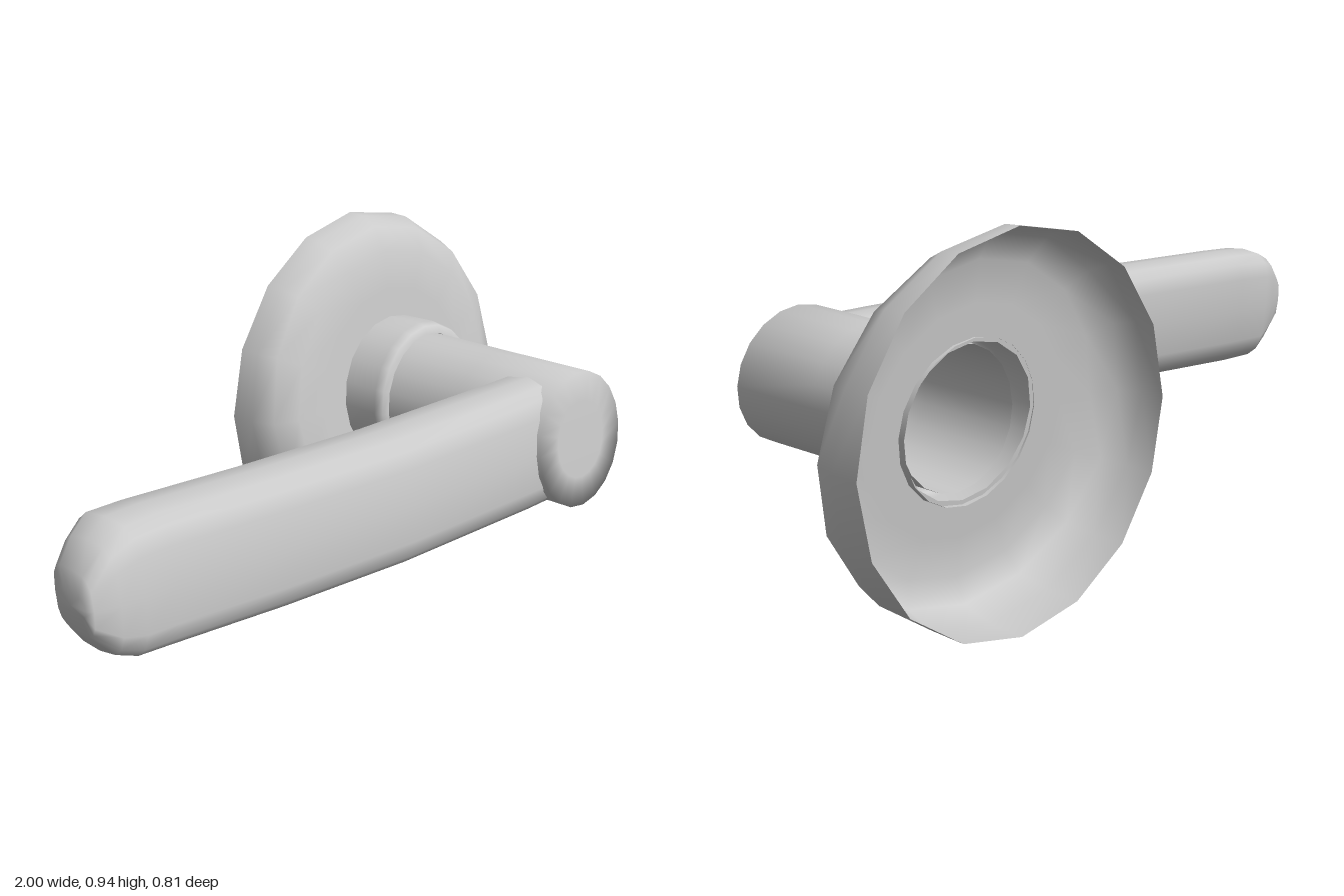
import * as THREE from 'three';
import { mergeVertices } from 'three/addons/utils/BufferGeometryUtils.js';

const CX = 0.53, CY = 0.472;
const material = new THREE.MeshStandardMaterial({ color: 0xcccccc, side: THREE.DoubleSide });

// Weld the seam and give smooth normals
function smooth(geometry) {
  geometry.deleteAttribute('uv');
  geometry.deleteAttribute('normal');
  const welded = mergeVertices(geometry, 1e-4);
  welded.computeVertexNormals();
  return welded;
}

// Turned part along z from [radius, z] pairs; lean(z) tilts its front faces
function turned(name, profile, sides, lean) {
  const points = profile.map(([r, z]) => new THREE.Vector2(r, z));
  const geometry = new THREE.LatheGeometry(points, sides);
  geometry.rotateX(Math.PI / 2);
  const p = geometry.attributes.position;
  for (let i = 0; i < p.count; i++) {
    const [sx, sy] = lean(p.getZ(i));
    p.setZ(i, p.getZ(i) + sx * p.getX(i) + sy * p.getY(i));
  }
  const mesh = new THREE.Mesh(smooth(geometry), material);
  mesh.name = name;
  mesh.position.set(CX, CY, 0);
  return mesh;
}

// Lever lofted through rounded-rectangle sections: [x, half height, back z, front z]
function lever() {
  const stations = [
    [0.53, 0.160, 0.185, 0.378],
    [0.36, 0.160, 0.175, 0.376],
    [-0.10, 0.160, 0.142, 0.348],
    [-0.47, 0.160, 0.092, 0.298],
    [-0.78, 0.160, 0.040, 0.242],
    [-0.87, 0.156, 0.024, 0.236],
    [-0.935, 0.128, 0.052, 0.230],
    [-0.98, 0.072, 0.058, 0.205],
    [-0.99, 0.022, 0.080, 0.190],
  ];
  const n = 16, pos = [], index = [];
  const soft = (v) => Math.sign(v) * Math.pow(Math.abs(v), 0.6);
  for (const [x, h, zb, zf] of stations) {
    for (let i = 0; i < n; i++) {
      const a = (i / n) * Math.PI * 2;
      const y = soft(Math.sin(a)) * h;
      const c = soft(Math.cos(a));
      const endLean = x < -0.95 ? -0.01 * c : 0;
      pos.push(x + endLean, CY + y, (zb + zf) / 2 + (c * (zf - zb)) / 2 - 0.1 * y);
    }
  }
  for (let s = 0; s < stations.length - 1; s++) {
    for (let i = 0; i < n; i++) {
      const a = s * n + i, b = s * n + ((i + 1) % n);
      index.push(a, b, a + n, b, b + n, a + n);
    }
  }
  // Tip
  const tip = pos.length / 3, last = (stations.length - 1) * n;
  pos.push(-1, CY, 0.14);
  for (let i = 0; i < n; i++) index.push(last + i, last + ((i + 1) % n), tip);
  const geometry = new THREE.BufferGeometry();
  geometry.setAttribute('position', new THREE.Float32BufferAttribute(pos, 3));
  geometry.setIndex(index);
  geometry.computeVertexNormals();
  const mesh = new THREE.Mesh(geometry, material);
  mesh.name = 'lever';
  return mesh;
}

export function createModel() {
  const group = new THREE.Group();
  group.name = 'doorHandle';

  // Hollow round plate, flat at the back and leaning at the front
  group.add(turned('rosette',
    [[0.469, -0.405], [0.467, -0.33], [0.443, -0.265], [0.38, -0.235], [0.28, -0.235], [0.19, -0.235]],
    16, (z) => {
      const w = Math.min(1, (z + 0.405) / 0.14);
      return [0.04 * w, -0.115 * w];
    }));

  // Collar around the stem
  group.add(turned('collar',
    [[0.2, -0.245], [0.203, -0.14], [0.197, -0.116], [0.176, -0.112]],
    20, () => [0, -0.09]));

  // Stem, open at the back and closed at the elbow
  group.add(turned('stem',
    [[0.174, -0.2], [0.175, 0.1], [0.177, 0.385], [0.1, 0.387], [0, 0.387]],
    20, (z) => [0, z > 0.3 ? -0.11 : 0]));

  group.add(lever());
  return group;
}
